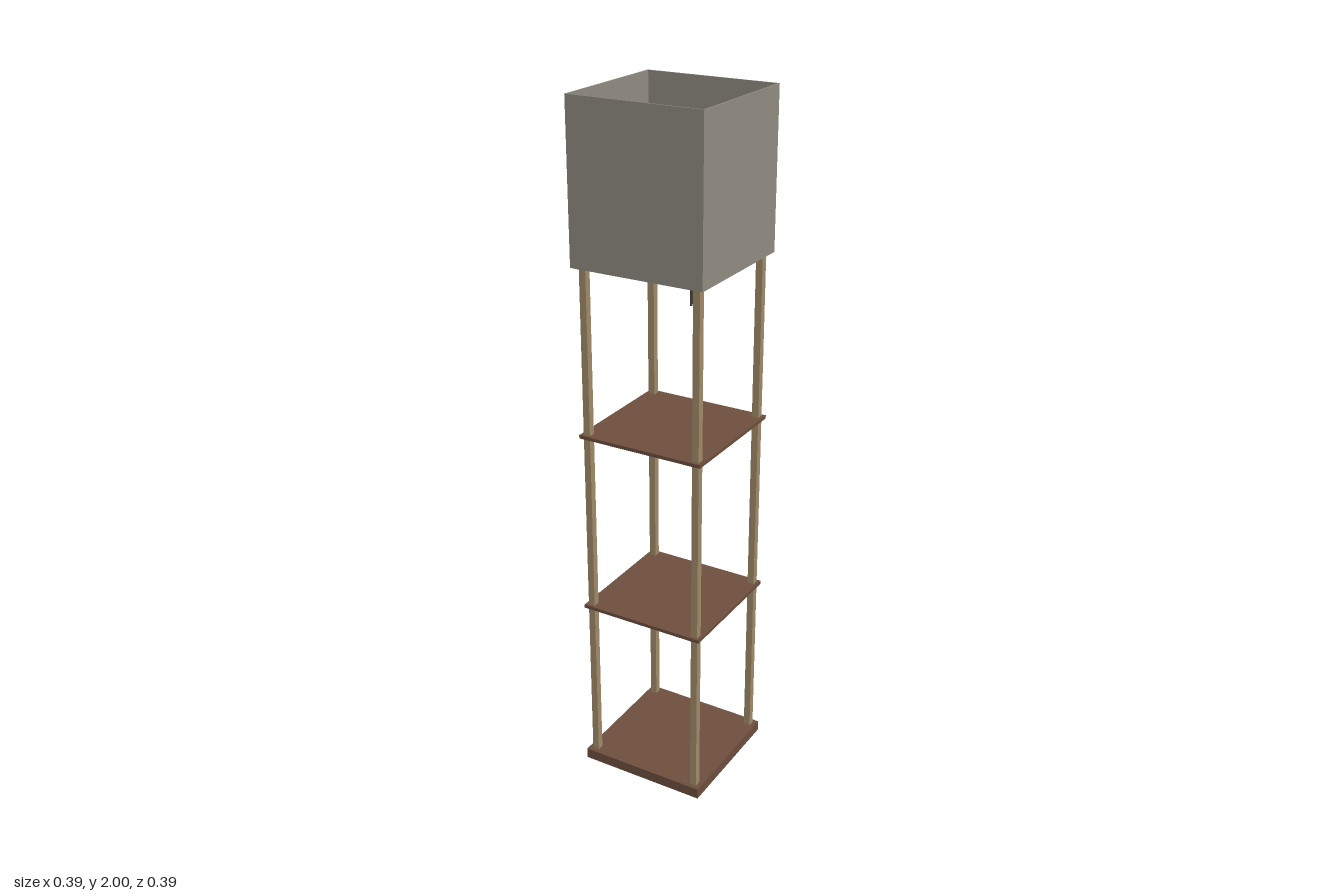
import * as THREE from 'three';

const material = (name, color, side = THREE.FrontSide) => {
  const m = new THREE.MeshStandardMaterial({ color, side });
  m.name = name;
  return m;
};

export function createModel() {
  const group = new THREE.Group();
  group.name = 'shelfFloorLamp';
  const brown = material('brown wood', 0x70503f);
  const tan = material('tan wood', 0xa48e6c);
  const fabric = material('grey shade', 0x938e84, THREE.DoubleSide);
  const glass = material('grey bulb', 0x938e84);
  const metal = material('dark metal', 0x4a4238);

  const add = (name, geometry, mat, x = 0, y = 0, z = 0) => {
    const mesh = new THREE.Mesh(geometry, mat);
    mesh.name = name;
    mesh.position.set(x, y, z);
    group.add(mesh);
    return mesh;
  };
  const box = (name, w, h, d, mat, x, y, z) =>
    add(name, new THREE.BoxGeometry(w, h, d), mat, x, y, z);

  // Base and the two shelves
  box('base', 0.386, 0.032, 0.386, brown, 0, 0.016, 0);
  for (const y of [0.538, 1.077]) box('shelf', 0.378, 0.01, 0.378, brown, 0, y, 0);

  // Posts, diagonal wooden arms and shade wires, one per corner
  for (const sx of [-1, 1]) for (const sz of [-1, 1]) {
    box('post', 0.02, 1.533, 0.02, tan, sx * 0.17, 0.032 + 1.533 / 2, sz * 0.17);
    const arm = box('arm', 0.25, 0.02, 0.018, tan, sx * 0.096, 1.565, sz * 0.096);
    arm.rotation.y = -Math.atan2(sz, sx);
    const path = new THREE.CatmullRomCurve3([
      [0.191, 1.575], [0.13, 1.605], [0.07, 1.622], [0, 1.628],
    ].map(([r, y]) => new THREE.Vector3(sx * r, y, sz * r)));
    add('shadeWire', new THREE.TubeGeometry(path, 16, 0.004, 6), glass);
  }

  // Open square shade
  const outline = (r, Type) => new Type([
    new THREE.Vector2(-r, -r), new THREE.Vector2(r, -r),
    new THREE.Vector2(r, r), new THREE.Vector2(-r, r),
  ]);
  const frame = outline(0.196, THREE.Shape);
  frame.holes.push(outline(0.192, THREE.Path));
  const shade = new THREE.ExtrudeGeometry(frame, { depth: 0.443, bevelEnabled: false });
  shade.rotateX(-Math.PI / 2);
  add('shade', shade, fabric, 0, 1.557, 0);

  // Socket block with its front fitting
  box('socketBlock', 0.093, 0.043, 0.093, tan, 0, 1.537, 0);
  box('frontFitting', 0.028, 0.028, 0.004, metal, 0, 1.532, 0.047);

  // Bulb and neck turned as one profile
  const profile = [[0, 1.555], [0.014, 1.555], [0.014, 1.615], [0.02, 1.64]];
  for (let i = 0; i <= 10; i++) {
    const a = -0.5 + (i / 10) * (Math.PI / 2 + 0.5);
    profile.push([Math.max(0, 0.028 * Math.cos(a)), 1.662 + 0.028 * Math.sin(a)]);
  }
  add('bulb', new THREE.LatheGeometry(profile.map(([x, y]) => new THREE.Vector2(x, y)), 24), glass);

  // Pull chain
  const rod = (name, r, length, x, y) =>
    add(name, new THREE.CylinderGeometry(r, r, length, 8), metal, x, y, 0);
  rod('switchStem', 0.002, 0.03, 0.04, 1.55).rotation.z = Math.PI / 2;
  rod('pullChain', 0.0015, 0.07, 0.053, 1.517);
  rod('pullHandle', 0.004, 0.045, 0.053, 1.462);

  return group;
}
